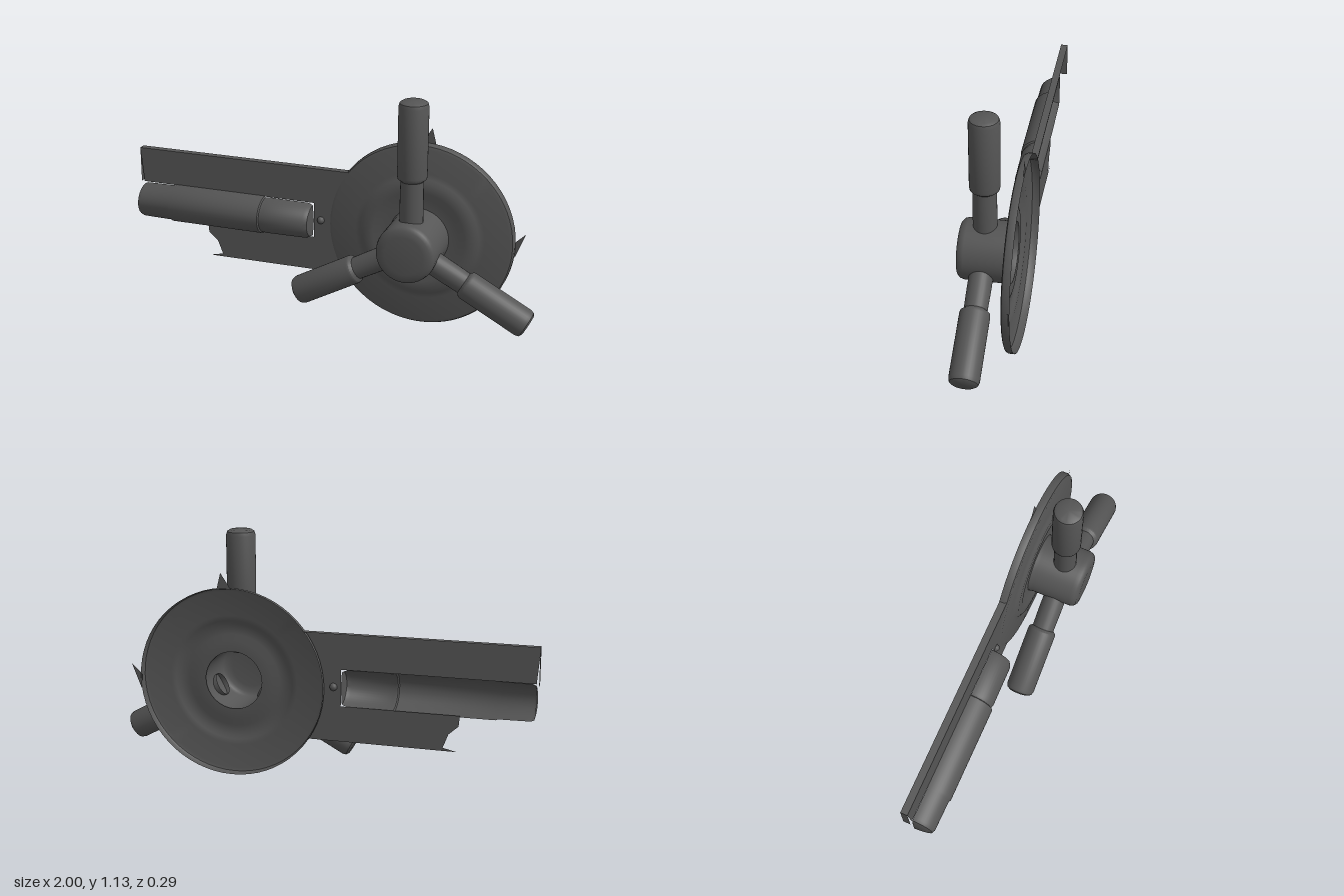
import * as THREE from 'three';
import { toCreasedNormals } from 'three/addons/utils/BufferGeometryUtils.js';

const CX = 0.42, CY = 0.45;
const metal = new THREE.MeshStandardMaterial({ color: 0x555555, side: THREE.DoubleSide });
metal.name = 'dark grey metal';

const pts = (list) => list.map(([r, h]) => new THREE.Vector2(r, h));

function add(parent, name, geometry) {
  const mesh = new THREE.Mesh(geometry, metal);
  mesh.name = name;
  parent.add(mesh);
  return mesh;
}

function turned(profile, segments = 48, start = 0, sweep = Math.PI * 2) {
  return toCreasedNormals(new THREE.LatheGeometry(pts(profile), segments, start, sweep), 0.7);
}

// Small loose flap of sheet at the disc edge
function flap(parent, corners) {
  const mesh = add(parent, 'edgeFlap', new THREE.ShapeGeometry(new THREE.Shape(pts(corners))));
  mesh.position.z = -0.139;
}

export function createModel() {
  const model = new THREE.Group();
  model.name = 'spokedLatch';

  // Pressed disc, hollow behind, with a raised ring and a rolled rim
  const disc = add(model, 'backDisc', turned([
    [0.444, -0.142], [0.444, -0.118], [0.438, -0.107], [0.425, -0.102], [0.31, -0.1],
    [0.285, -0.094], [0.268, -0.084], [0.22, -0.084], [0.19, -0.092], [0.137, -0.092],
  ], 64).rotateX(Math.PI / 2));
  disc.position.set(CX, CY, 0);

  // Hub, open at the back
  const hub = add(model, 'hub', turned([
    [0.143, -0.092], [0.139, -0.07], [0.139, 0.115], [0.134, 0.135], [0.12, 0.147], [0.09, 0.151], [0, 0.151],
  ]).rotateX(Math.PI / 2));
  hub.position.set(CX, CY - 0.003, 0);

  // Three spokes with thicker grips: angle from upright, grip start, tip
  for (const [angle, start, tip] of [[0, 0.335, 0.692], [-2.07, 0.3, 0.63], [2.07, 0.3, 0.625]]) {
    const spoke = new THREE.Group();
    spoke.name = 'spoke';
    spoke.position.set(CX, CY - 0.003, 0.037);
    spoke.rotation.z = angle;
    add(spoke, 'spokeRod', turned([[0.054, 0.115], [0.054, 0.2], [0.052, start + 0.01]], 24));
    add(spoke, 'grip', turned([
      [0.052, start - 0.012], [0.066, start], [0.068, start + 0.012], [0.068, tip - 0.025],
      [0.063, tip - 0.008], [0.05, tip], [0, tip],
    ], 32));
    model.add(spoke);
  }

  // Plate around the bolt, with a torn lower corner and an edge following the disc
  const plate = new THREE.Shape();
  plate.moveTo(-1, 0.715);
  plate.lineTo(0.073, 0.715);
  plate.absarc(CX, CY, 0.437, Math.PI - 0.65, Math.PI + 0.6, false);
  for (const [x, y] of [[-0.64, 0.2], [-0.575, 0.215], [-0.6, 0.28], [-0.645, 0.32], [-0.65, 0.37],
    [-0.1, 0.37], [-0.1, 0.543], [-0.985, 0.543]]) plate.lineTo(x, y);
  add(model, 'plate', new THREE.ShapeGeometry(plate, 24)).position.z = -0.107;

  // Folded lips along the plate's top and outer end
  const topLip = add(model, 'topLip', new THREE.PlaneGeometry(1.073, 0.034).rotateX(Math.PI / 2));
  topLip.position.set(-0.4635, 0.715, -0.124);
  const endLip = add(model, 'endLip', new THREE.PlaneGeometry(0.034, 0.172).rotateY(Math.PI / 2));
  endLip.position.set(-1, 0.629, -0.124);

  // Half-round bolt: profile runs along x, open towards the back
  const bolt = add(model, 'bolt', turned([
    [0, -0.985], [0.06, -0.985], [0.078, -0.98], [0.084, -0.965], [0.086, -0.82], [0.091, -0.81], [0.091, -0.35],
    [0.084, -0.345], [0.084, -0.335], [0.087, -0.325], [0.085, -0.125], [0.075, -0.105], [0, -0.1],
  ], 24, -Math.PI / 2, Math.PI).rotateZ(-Math.PI / 2));
  bolt.position.set(0, 0.455, -0.107);
  bolt.scale.z = 1.17;

  // Small pin between bolt and disc
  const pin = add(model, 'pin', new THREE.SphereGeometry(0.018, 12, 8));
  pin.position.set(-0.065, 0.46, -0.107);

  flap(model, [[0.858, 0.46], [0.863, 0.39], [0.91, 0.51]]);
  flap(model, [[0.41, 0.89], [0.48, 0.885], [0.46, 0.965]]);
  return model;
}
